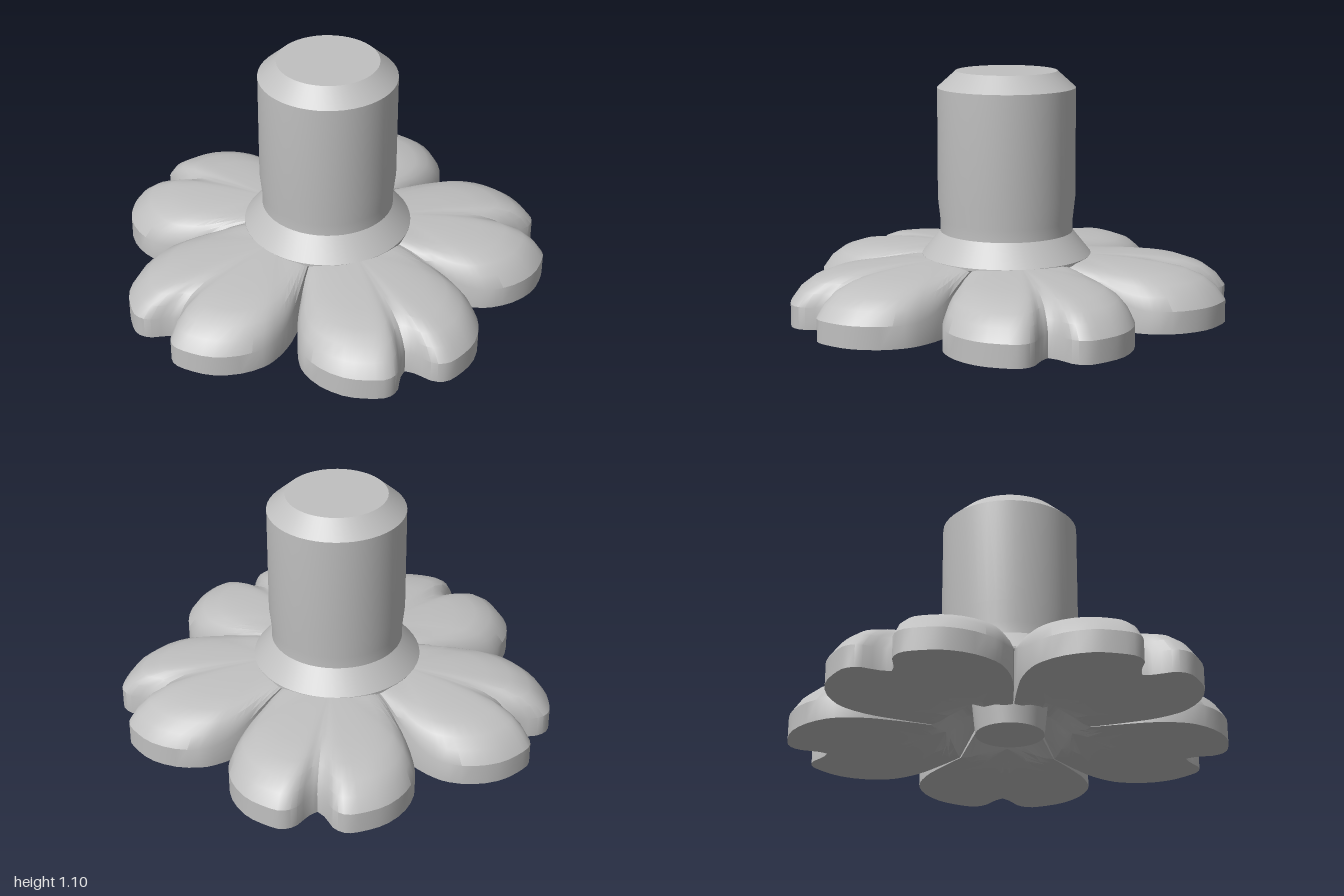
import * as THREE from 'three';
import { toCreasedNormals } from 'three/addons/utils/BufferGeometryUtils.js';

const CENTRE_X = 0.037;

// Half of a heart-shaped petal outline: [distance from hub, sideways]
const HALF = [
  [0.16, 0.105], [0.31, 0.222], [0.44, 0.309], [0.54, 0.368], [0.64, 0.402], [0.71, 0.408],
  [0.82, 0.378], [0.92, 0.305], [0.975, 0.215], [0.998, 0.14], [0.975, 0.085], [0.9, 0.035], [0.868, 0],
];

// Rings from under the petal, up the wall and over the dome: [scale, rise from edge to crown]
const UNDER = [0, 0.3, 0.6, 0.8, 1];
const DOME = [[1, 0], [0.94, 0.35], [0.86, 0.6], [0.74, 0.78], [0.58, 0.88], [0.38, 0.95], [0, 1]];

function petalOutline() {
  const curve = new THREE.CatmullRomCurve3(HALF.map(([r, s]) => new THREE.Vector3(r, 0, s)));
  const half = curve.getPoints(26);
  const mirrored = half.slice(0, -1).reverse().map((p) => new THREE.Vector3(p.x, 0, -p.z));
  return [...half, ...mirrored];
}

function petalGeometry() {
  const outline = petalOutline();
  const n = outline.length;
  const anchor = 0.3;
  const pos = [];
  const index = [];
  const place = (p, t) => [anchor + (p.x - anchor) * t, p.z * t];

  // Flat underside, hollowed close to the hub
  for (const t of UNDER) {
    for (const p of outline) {
      const [x, z] = place(p, t);
      const hollow = 1 - THREE.MathUtils.smoothstep(Math.hypot(x, z), 0.2, 0.36);
      pos.push(x, 0.15 * hollow, z);
    }
  }
  // Wall top, bevel and dome; the wall is taller beside the hub
  for (const [t, rise] of DOME) {
    for (const p of outline) {
      const [x, z] = place(p, t);
      const edge = THREE.MathUtils.lerp(0.25, 0.1, THREE.MathUtils.smoothstep(Math.hypot(p.x, p.z), 0.33, 0.8));
      pos.push(x, edge + (0.265 - edge) * rise, z);
    }
  }
  for (let k = 0; k < UNDER.length + DOME.length - 1; k++) {
    for (let i = 0; i < n; i++) {
      const j = (i + 1) % n;
      const a = k * n + i, b = k * n + j, c = a + n, d = b + n;
      if (k > 0) index.push(a, b, d);
      if (k < UNDER.length + DOME.length - 2) index.push(a, d, c);
    }
  }
  const geo = new THREE.BufferGeometry();
  geo.setAttribute('position', new THREE.Float32BufferAttribute(pos, 3));
  geo.setIndex(index);
  return toCreasedNormals(geo, 0.5);
}

export function createModel() {
  const group = new THREE.Group();
  const grey = new THREE.MeshStandardMaterial({ color: 0xc0c0c0 });
  grey.name = 'plain grey';

  // Post with chamfered top, flared collar and a narrow foot
  const profile = [
    [0, 0], [0.155, 0], [0.17, 0.14], [0.3, 0.19], [0.385, 0.25], [0.385, 0.262], [0.302, 0.365],
    [0.302, 0.42], [0.313, 0.52], [0.313, 1.02], [0.23, 1.095], [0, 1.095],
  ].map(([r, y]) => new THREE.Vector2(r, y));
  const post = new THREE.Mesh(toCreasedNormals(new THREE.LatheGeometry(profile, 48), 0.5), grey);
  post.name = 'post';
  post.position.x = CENTRE_X;
  group.add(post);

  // Five petals around the hub, one pointing to -x
  const geo = petalGeometry();
  for (let i = 0; i < 5; i++) {
    const petal = new THREE.Mesh(geo, grey);
    petal.name = `petal${i + 1}`;
    petal.position.x = CENTRE_X;
    petal.rotation.y = Math.PI + (i * Math.PI * 2) / 5;
    group.add(petal);
  }
  return group;
}
